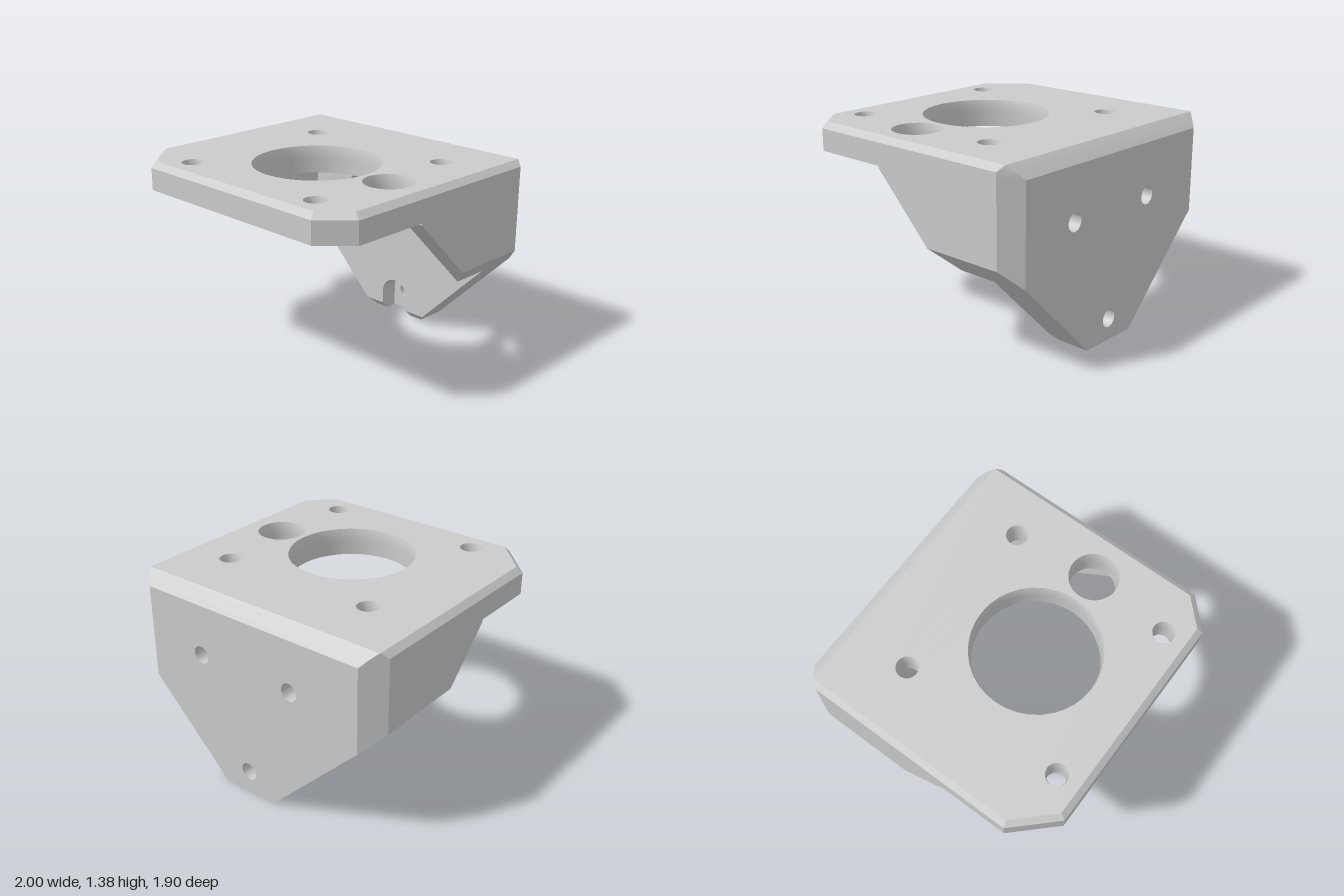
import * as THREE from 'three';
import { toCreasedNormals } from 'three/addons/utils/BufferGeometryUtils.js';
import { ConvexGeometry } from 'three/addons/geometries/ConvexGeometry.js';

const material = new THREE.MeshStandardMaterial({ color: 0xcccccc });

function addMesh(group, name, geometry) {
  const mesh = new THREE.Mesh(toCreasedNormals(geometry, 0.5), material);
  mesh.name = name;
  group.add(mesh);
}

function shapeFrom(points) {
  return new THREE.Shape(points.map(([x, y]) => new THREE.Vector2(x, y)));
}

function addHole(shape, x, y, r) {
  shape.holes.push(new THREE.Path().absarc(x, y, r, 0, Math.PI * 2, true));
}

function extrude(shape, depth, steps = 1) {
  return new THREE.ExtrudeGeometry(shape, { depth, steps, bevelEnabled: false, curveSegments: 18 });
}

// Rewrites every vertex by a rule that edits the vector in place
function moveVertices(geometry, rule) {
  const pos = geometry.attributes.position;
  const v = new THREE.Vector3();
  for (let i = 0; i < pos.count; i++) {
    rule(v.fromBufferAttribute(pos, i));
    pos.setXYZ(i, v.x, v.y, v.z);
  }
  geometry.computeVertexNormals();
  return geometry;
}

// Top plate: outlines as [x, -z], stacked from underside to top with chamfers
function topPlate() {
  const full = [[-1, -0.68], [-0.74, -0.95], [0.8, -0.95], [1, -0.76],
    [1, 0.83], [0.88, 0.95], [-0.87, 0.95], [-1, 0.82]];
  const mid = full.map((p) => [...p]);
  mid[5] = [0.925, 0.905];
  mid[6] = [-0.915, 0.905];
  const top = [[-0.96, -0.665], [-0.725, -0.91], [0.785, -0.91], [0.957, -0.742],
    [0.957, 0.86], [0.955, 0.862], [-0.958, 0.862], [-0.96, 0.86]];
  const sections = [full, full, mid, top];
  const heights = [1.18, 1.285, 1.335, 1.375];

  // Large bore, side opening and four screw holes
  const holes = [[0.045, -0.16, 0.43], [0.69, -0.16, 0.16]];
  for (const x of [-0.545, 0.635]) for (const y of [0.43, -0.75]) holes.push([x, y, 0.065]);
  const shape = shapeFrom(full);
  holes.forEach((h) => addHole(shape, ...h));

  const geometry = moveVertices(extrude(shape, 3, 3), (v) => {
    const level = Math.round(v.z);
    v.z = heights[level];
    const corner = full.findIndex(([x, y]) => Math.hypot(v.x - x, v.y - y) < 1e-4);
    if (corner >= 0) {
      [v.x, v.y] = sections[level][corner];
    } else if (level === 3) {
      // Slight flare at the upper rim of each hole
      const [x, y, r] = holes.find((h) => Math.abs(Math.hypot(v.x - h[0], v.y - h[1]) - h[2]) < 1e-3);
      const k = (r + 0.01) / r;
      v.x = x + (v.x - x) * k;
      v.y = y + (v.y - y) * k;
    }
  });
  return geometry.rotateX(-Math.PI / 2);
}

const xLeft = 0.85, xRight = -0.79;
const cutLeft = (x) => x - 0.27;
const cutRight = (x) => -x - 0.18;
const screws = [[-0.335, 0.92], [0.425, 0.92]];
const lowScrew = [0.045, 0.155];

// Rear layer of the back wall with through holes
function wallRear() {
  const shape = shapeFrom([[xRight, 1.18], [xRight, cutRight(xRight)], [-0.18, 0],
    [0.27, 0], [xLeft, cutLeft(xLeft)], [xLeft, 1.18]]);
  for (const [x, y] of [...screws, lowScrew]) addHole(shape, x, y, 0.062);
  return extrude(shape, 0.14).translate(0, 0, -0.95);
}

// Front layer of the back wall with counterbores, open slot and bottom chamfer
function wallFront() {
  const [cx, cy] = lowScrew, r = 0.12;
  const shape = new THREE.Shape();
  shape.moveTo(xRight, 1.18);
  shape.lineTo(xRight, cutRight(xRight));
  shape.lineTo(-0.18, 0);
  shape.lineTo(cx - r, 0);
  shape.lineTo(cx - r, cy);
  shape.absarc(cx, cy, r, Math.PI, 0, true);
  shape.lineTo(cx + r, 0);
  shape.lineTo(0.27, 0);
  shape.lineTo(xLeft, cutLeft(xLeft));
  shape.lineTo(xLeft, 1.18);
  for (const [x, y] of screws) addHole(shape, x, y, r);
  const levels = [-0.81, -0.725, -0.67];
  return moveVertices(extrude(shape, 2, 2), (v) => {
    const level = Math.round(v.z);
    v.z = levels[level];
    if (level === 2 && v.y < 1e-4) {
      v.y = 0.055;
      if (v.x < -0.15) v.x -= 0.055;
      if (v.x > 0.25) v.x += 0.055;
    }
  });
}

// Side gusset: sloped front, sloped underside and bevelled rear corner
function sideGusset(xIn, xOut, xCorner, zCorner, cut) {
  const points = [];
  const add = (x, y, z) => points.push(new THREE.Vector3(x, y, z));
  for (const [x, z] of [[xOut, zCorner], [xCorner, -0.95], [xIn, -0.95]]) {
    add(x, 1.18, z);
    add(x, cut(x), z);
  }
  for (const x of [xIn, xOut]) {
    add(x, 1.18, 0.195);
    add(x, 1.165, 0.195);
    add(x, cut(x), cut(x) - 0.97);
  }
  return new ConvexGeometry(points);
}

export function createModel() {
  const group = new THREE.Group();
  group.name = 'mountingBracket';
  addMesh(group, 'topPlate', topPlate());
  addMesh(group, 'backWallRear', wallRear());
  addMesh(group, 'backWallFront', wallFront());
  addMesh(group, 'leftGusset', sideGusset(xLeft, 1, 0.88, -0.83, cutLeft));
  addMesh(group, 'rightGusset', sideGusset(xRight, -1, -0.87, -0.82, cutRight));
  return group;
}
